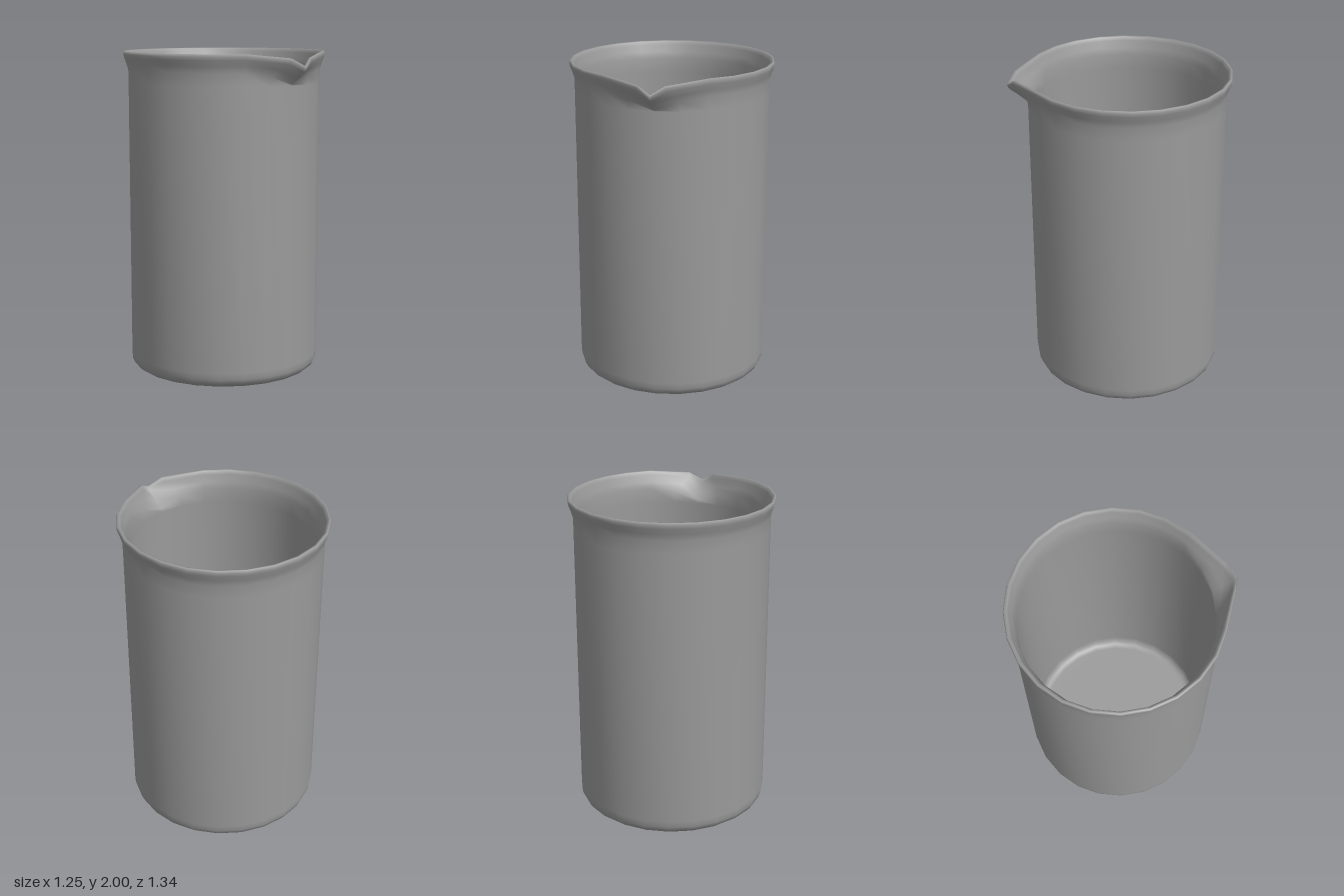
import * as THREE from 'three';
import { mergeVertices } from 'three/addons/utils/BufferGeometryUtils.js';

const SIDES = 24;
const CENTRE_Z = -0.045;

// Closed wall section [radius, height]: underside, outer wall, flared rim, inner wall, floor
const SECTION = [
  [0, 0], [0.525, 0.003], [0.555, 0.01], [0.58, 0.03], [0.593, 0.06], [0.596, 0.1],
  [0.596, 1.81], [0.597, 1.89], [0.609, 1.93], [0.622, 1.965], [0.626, 1.985], [0.621, 2],
  [0.606, 1.997], [0.598, 1.975], [0.585, 1.93], [0.572, 1.89], [0.57, 1.8],
  [0.57, 0.1], [0.562, 0.06], [0.54, 0.04], [0.51, 0.034], [0, 0.034],
];

// Shift at the lip for the front column and its two neighbours
const SPOUT = [
  { inward: 0, forward: 0.09, down: 0.072 },
  { inward: 0.08, forward: 0.073, down: 0.025 },
];

// Pull the front of the rim out and down into a pouring spout
function pullSpout(geometry) {
  const p = geometry.attributes.position;
  for (let i = 0; i < p.count; i++) {
    const x = p.getX(i), y = p.getY(i), z = p.getZ(i);
    if (y < 1.82) continue;
    const column = Math.round(Math.abs(Math.atan2(x, z)) / (2 * Math.PI / SIDES));
    const shift = SPOUT[column];
    if (!shift) continue;
    const flare = THREE.MathUtils.clamp((y - 1.885) / 0.09, 0, 1);
    const drop = THREE.MathUtils.smoothstep(y, 1.8, 1.9);
    p.setXYZ(i,
      x - Math.sign(x) * shift.inward * flare,
      y - shift.down * drop,
      z + shift.forward * flare);
  }
}

export function createModel() {
  const group = new THREE.Group();
  group.name = 'beaker';

  const lathe = new THREE.LatheGeometry(SECTION.map(([r, y]) => new THREE.Vector2(r, y)), SIDES);
  pullSpout(lathe);

  // Weld the seam so the spout shades smoothly
  lathe.deleteAttribute('uv');
  lathe.deleteAttribute('normal');
  const geometry = mergeVertices(lathe, 1e-4);
  geometry.computeVertexNormals();
  geometry.translate(0, 0, CENTRE_Z);

  const vessel = new THREE.Mesh(geometry, new THREE.MeshStandardMaterial({ color: 0x9a9a9a }));
  vessel.name = 'vesselWithSpout';
  group.add(vessel);
  return group;
}
